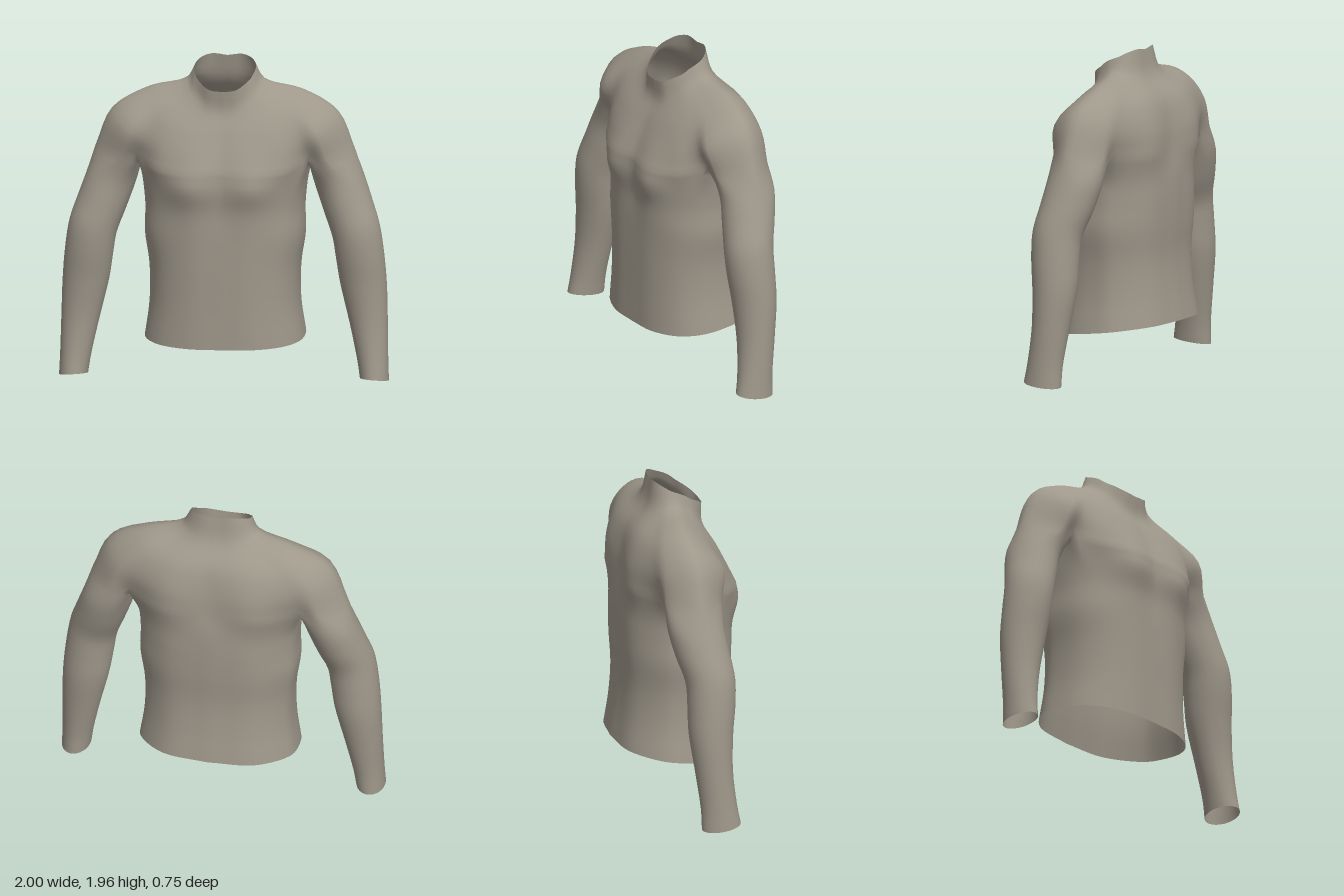
import * as THREE from 'three';
import { mergeVertices } from 'three/addons/utils/BufferGeometryUtils.js';

const SEG = 5;   // columns between neighbouring control points of a ring
const STEP = 4;  // rows between neighbouring rings

const vec = (p) => new THREE.Vector3(...p);

// Smooth line through control points, sampled evenly between them
function spline(points, steps) {
  const curve = new THREE.CatmullRomCurve3(points);
  const n = (points.length - 1) * steps;
  return Array.from({ length: n + 1 }, (_, i) => curve.getPoint(i / n));
}

// Grid of rows running smoothly through a list of rings
function loft(rings) {
  const columns = rings[0].map((_, j) => spline(rings.map((r) => r[j]), STEP));
  return columns[0].map((_, i) => columns.map((c) => c[i]));
}

// Half rings of the collar, front centre -> left shoulder -> back centre
const collarTop = [
  [0, 1.78, 0.19], [0.08, 1.79, 0.18], [0.13, 1.82, 0.14], [0.165, 1.85, 0.09], [0.18, 1.88, 0.05],
  [0.187, 1.9, 0.01], [0.18, 1.92, -0.04], [0.15, 1.945, -0.085], [0.09, 1.96, -0.12], [0, 1.95, -0.125],
];
const collarBase = [
  [0, 1.66, 0.185], [0.09, 1.67, 0.18], [0.15, 1.71, 0.15], [0.2, 1.75, 0.11], [0.22, 1.79, 0.06],
  [0.235, 1.828, -0.01], [0.23, 1.825, -0.07], [0.19, 1.81, -0.12], [0.11, 1.8, -0.155], [0, 1.8, -0.16],
];
// Half rings of the yoke, widening over the shoulder down to the armpit
const yokeUpper = [
  [0, 1.55, 0.235], [0.13, 1.55, 0.243], [0.27, 1.57, 0.225], [0.38, 1.62, 0.17], [0.43, 1.69, 0.1],
  [0.46, 1.768, -0.04], [0.45, 1.73, -0.15], [0.38, 1.68, -0.215], [0.22, 1.66, -0.265], [0, 1.66, -0.26],
];
const yokeLower = [
  [0, 1.43, 0.29], [0.16, 1.43, 0.305], [0.34, 1.45, 0.262], [0.47, 1.48, 0.19], [0.57, 1.54, 0.185],
  [0.685, 1.64, -0.02], [0.6, 1.57, -0.19], [0.48, 1.52, -0.235], [0.25, 1.5, -0.32], [0, 1.5, -0.3],
];
const armpitRing = [
  [0, 1.31, 0.342], [0.19, 1.3, 0.365], [0.38, 1.31, 0.282], [0.52, 1.36, 0.14], [0.63, 1.37, 0.155],
  [0.79, 1.4, -0.02], [0.65, 1.38, -0.2], [0.53, 1.36, -0.19], [0.28, 1.35, -0.325], [0, 1.35, -0.315],
];
const FRONT = 3 * SEG, BACK = 7 * SEG; // columns of the armpit corners

// Body section as a fraction of half width and depth, front centre -> back centre
const bodySection = [[0, 1], [0.4, 1], [0.76, 0.75], [0.95, 0.4], [1, -0.05], [0.95, -0.43], [0.58, -0.89], [0, -1]];
// height, half width, front depth, bulge of the chest, back depth, tilt
const bodyLevels = [
  [1.2, 0.495, 0.35, 1.08, 0.335, 0],
  [1.06, 0.482, 0.337, 1.02, 0.338, 0],
  [0.9, 0.485, 0.342, 0.98, 0.335, 0],
  [0.7, 0.457, 0.345, 0.97, 0.326, 0],
  [0.48, 0.456, 0.345, 0.97, 0.342, -0.05],
  [0.267, 0.485, 0.347, 0.97, 0.37, -0.12],
];
function bodyRing([y, w, front, bulge, back, tilt]) {
  return spline(bodySection.map(([u, v], i) => {
    const z = v * (v > 0 ? front : back) * (i === 1 ? bulge : 1);
    return new THREE.Vector3(u * w, y + tilt * z, z);
  }), SEG);
}

// Sleeve sections: inner x, y, outer x, y, back z, front z, tilt
const sleeveLevels = [
  [0.54, 1.2, 0.84, 1.25, -0.2, 0.145, 0],
  [0.6, 1.03, 0.89, 1.11, -0.165, 0.165, 0],
  [0.655, 0.88, 0.94, 0.96, -0.118, 0.185, 0],
  [0.675, 0.76, 0.967, 0.79, -0.112, 0.18, 0],
  [0.7, 0.6, 0.983, 0.6, -0.11, 0.16, 0],
  [0.76, 0.35, 0.99, 0.37, -0.08, 0.15, 0],
  [0.808, 0.13, 0.995, 0.14, -0.053, 0.17, 0.005],
  [0.825, 0.022, 1, 0.01, -0.05, 0.19, 0.014],
];
function sleeveRing([ix, iy, ox, oy, z0, z1, tilt]) {
  const arc = 4 * SEG, under = 2 * SEG;
  return Array.from({ length: arc + under + 1 }, (_, j) => {
    // over the arm from the front corner to the back corner, then underneath
    const deg = j <= arc ? 135 - (270 * j) / arc : -135 - (90 * (j - arc)) / under;
    const a = THREE.MathUtils.degToRad(deg), c = Math.cos(a), s = Math.sin(a);
    return new THREE.Vector3(
      (ix + ox) / 2 + ((ox - ix) / 2) * c,
      (iy + oy) / 2 + ((oy - iy) / 2) * c + tilt * s,
      (z0 + z1) / 2 + ((z1 - z0) / 2) * s,
    );
  });
}

export function createModel() {
  const fabric = new THREE.MeshStandardMaterial({ color: 0x9e978a, side: THREE.DoubleSide });
  fabric.name = 'warm grey fabric';

  // Collar and yoke, then the split into body and sleeve below the underarm strip
  const top = loft([collarTop, collarBase, yokeUpper, yokeLower, armpitRing].map((r) => spline(r.map(vec), SEG)));
  const split = top[top.length - 1];
  const underarm = spline([split[FRONT], vec([0.508, 1.32, -0.02]), split[BACK]], SEG);
  const bodyStart = [...split.slice(0, FRONT), ...underarm, ...split.slice(BACK + 1)];
  const sleeveStart = [...split.slice(FRONT, BACK), ...underarm.slice().reverse()];
  const body = loft([bodyStart, ...bodyLevels.map(bodyRing)]);
  const sleeve = loft([sleeveStart, ...sleeveLevels.map(sleeveRing)]);

  const positions = [], indices = [], parts = [];
  function addGrid(grid, side) {
    const base = positions.length / 3, n = grid[0].length;
    grid.forEach((row) => row.forEach((p) => positions.push(p.x * side, p.y, p.z)));
    for (let i = 0; i < grid.length - 1; i++) {
      for (let j = 0; j < n - 1; j++) {
        const a = base + i * n + j, b = a + n, c = a + 1, d = b + 1;
        if (side > 0) indices.push(a, b, c, c, b, d);
        else indices.push(a, c, b, c, d, b);
      }
    }
  }
  function addPart(name, grid, sides) {
    const start = indices.length;
    sides.forEach((side) => addGrid(grid, side));
    parts.push({ name, start, end: indices.length });
  }
  addPart('collar', top.slice(0, STEP + 1), [1, -1]);
  addPart('yoke', top.slice(STEP), [1, -1]);
  addPart('body', body, [1, -1]);
  addPart('leftSleeve', sleeve, [1]);
  addPart('rightSleeve', sleeve, [-1]);

  // Weld everything so that shading runs smoothly across the parts
  let shell = new THREE.BufferGeometry();
  shell.setAttribute('position', new THREE.Float32BufferAttribute(positions, 3));
  shell.setIndex(indices);
  shell = mergeVertices(shell, 1e-4);
  shell.computeVertexNormals();

  const group = new THREE.Group();
  group.name = 'longSleevedTop';
  const welded = Array.from(shell.index.array);
  for (const { name, start, end } of parts) {
    const geometry = new THREE.BufferGeometry();
    geometry.setAttribute('position', shell.attributes.position);
    geometry.setAttribute('normal', shell.attributes.normal);
    geometry.setIndex(welded.slice(start, end));
    const mesh = new THREE.Mesh(geometry, fabric);
    mesh.name = name;
    group.add(mesh);
  }
  return group;
}
